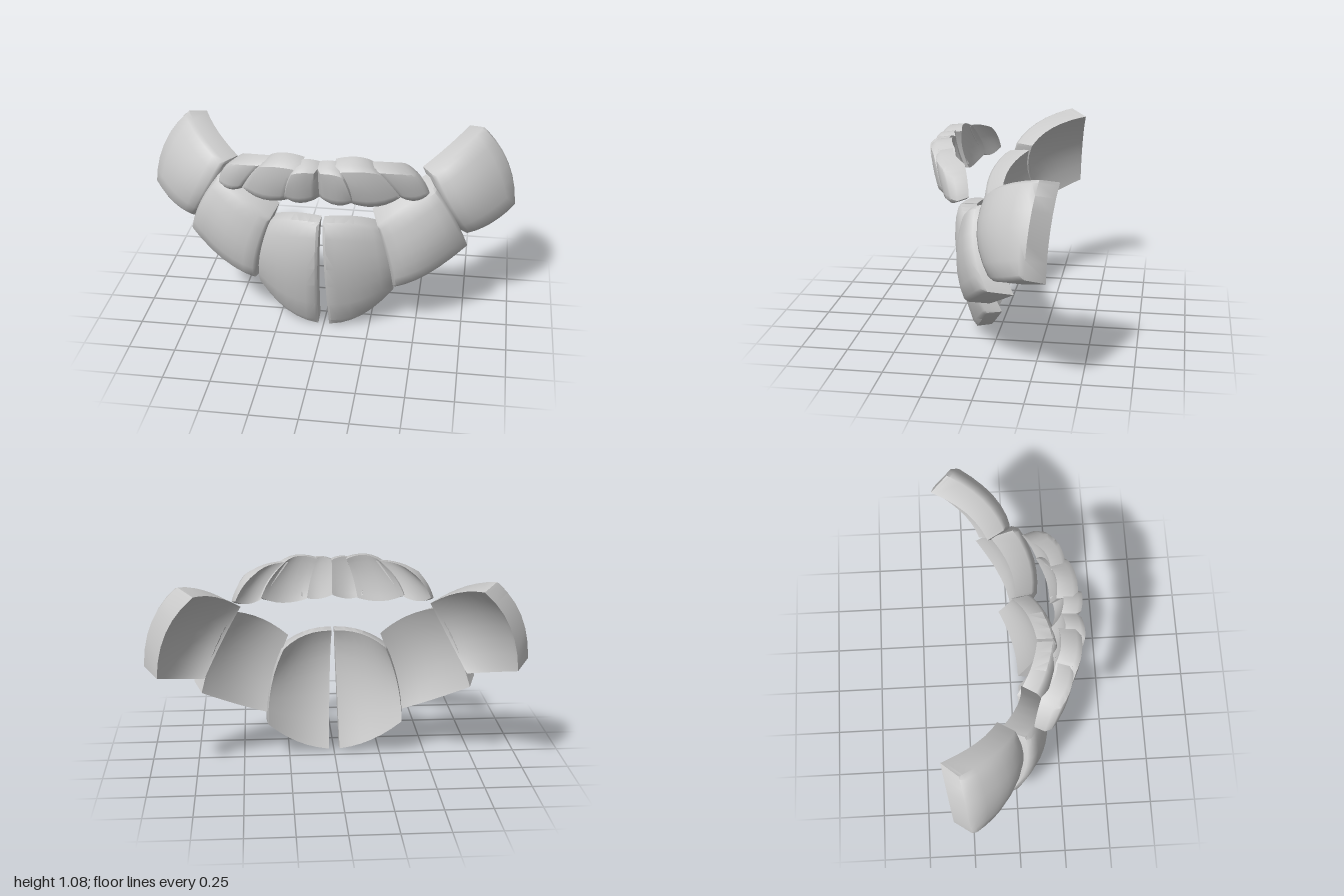
import * as THREE from 'three';
import { toCreasedNormals } from 'three/addons/utils/BufferGeometryUtils.js';

// Quadratic weights through three points at t = 0, 0.5 and 1
const weights = t => [(1 - t) * (1 - 2 * t), 4 * t * (1 - t), t * (2 * t - 1)];

// Thick curved plate. face: 3 x 3 points (rows top to bottom, columns inner to outer).
// depth: offset to the back at inner top, outer top, inner bottom, outer bottom.
function plateGeometry({ face, depth, edge = 0.04, round = 0.12 }, side) {
  const steps = [0, edge, 0.18, 0.34, 0.5, 0.66, 0.82, 1 - edge, 1];
  const last = steps.length - 1;
  const point = (u, v, t) => {
    const p = new THREE.Vector3();
    const wu = weights(u), wv = weights(v);
    const add = (a, w) => p.add(new THREE.Vector3(...a).multiplyScalar(w));
    face.forEach((row, j) => row.forEach((c, i) => add(c, wu[i] * wv[j])));
    [(1 - u) * (1 - v), u * (1 - v), (1 - u) * v, u * v].forEach((w, k) => add(depth[k], w * t));
    p.x *= side;
    return p;
  };
  const isRim = (i, j) => i === 0 || j === 0 || i === last || j === last;
  const front = (i, j) => point(steps[i], steps[j], isRim(i, j) ? round : 0);
  const back = (i, j) => point(steps[i], steps[j], 1);

  const out = [];
  const tri = (a, b, c) => (side > 0 ? [a, b, c] : [a, c, b]).forEach(p => out.push(p.x, p.y, p.z));
  const quad = (a, b, c, d) => { tri(a, b, c); tri(a, c, d); };

  // front and back skins
  for (let j = 0; j < last; j++) {
    for (let i = 0; i < last; i++) {
      quad(front(i, j), front(i, j + 1), front(i + 1, j + 1), front(i + 1, j));
      quad(back(i, j), back(i + 1, j), back(i + 1, j + 1), back(i, j + 1));
    }
  }
  // rim walls
  const rim = [];
  for (let k = 0; k < last; k++) rim.push([k, 0]);
  for (let k = 0; k < last; k++) rim.push([last, k]);
  for (let k = last; k > 0; k--) rim.push([k, last]);
  for (let k = last; k > 0; k--) rim.push([0, k]);
  rim.forEach((p, k) => {
    const q = rim[(k + 1) % rim.length];
    quad(front(...p), front(...q), back(...q), back(...p));
  });

  const geometry = new THREE.BufferGeometry();
  geometry.setAttribute('position', new THREE.Float32BufferAttribute(out, 3));
  return toCreasedNormals(geometry, 0.75);
}

const plates = {
  // lower plates, from the middle outwards
  ChinPlate: {
    face: [
      [[0.008, 0.68, 0.235], [0.17, 0.665, 0.19], [0.305, 0.605, 0.11]],
      [[0.018, 0.42, 0.25], [0.19, 0.40, 0.21], [0.365, 0.40, 0.11]],
      [[0.03, 0.0, 0.135], [0.21, 0.06, 0.115], [0.375, 0.2, 0.04]],
    ],
    depth: [[0, 0, -0.095], [-0.03, 0.01, -0.09], [0, 0.02, -0.09], [-0.01, 0.01, -0.09]],
  },
  MiddlePlate: {
    face: [
      [[0.29, 0.63, 0.14], [0.43, 0.75, 0.135], [0.58, 0.84, 0.06]],
      [[0.35, 0.45, 0.165], [0.53, 0.55, 0.155], [0.69, 0.67, 0.06]],
      [[0.38, 0.265, 0.13], [0.56, 0.34, 0.10], [0.765, 0.47, -0.02]],
    ],
    depth: [[-0.04, 0.06, -0.1], [-0.05, 0.02, -0.14], [-0.02, -0.01, -0.11], [-0.05, -0.03, -0.14]],
  },
  OuterPlate: {
    face: [
      [[0.56, 0.89, 0.005], [0.7, 0.99, -0.1], [0.82, 1.055, -0.28]],
      [[0.66, 0.71, 0.03], [0.81, 0.8, -0.05], [0.96, 0.87, -0.25]],
      [[0.76, 0.53, -0.05], [0.89, 0.57, -0.11], [1.01, 0.63, -0.235]],
    ],
    depth: [[-0.06, 0, -0.1], [-0.09, -0.035, -0.1], [-0.06, -0.02, -0.09], [-0.08, -0.045, -0.105]],
  },
  // upper band of overlapping lobes
  InnerLobe: {
    face: [
      [[0, 1.04, 0.355], [0.07, 1.05, 0.37], [0.13, 1.03, 0.365]],
      [[0, 0.95, 0.33], [0.09, 0.95, 0.355], [0.17, 0.94, 0.345]],
      [[0, 0.855, 0.29], [0.1, 0.825, 0.315], [0.19, 0.85, 0.295]],
    ],
    depth: [[0, 0.01, -0.1], [-0.02, 0.02, -0.1], [0, 0.01, -0.08], [-0.02, 0.01, -0.08]],
    edge: 0.1, round: 0.25,
  },
  MiddleLobe: {
    face: [
      [[0.08, 1.05, 0.345], [0.2, 1.065, 0.345], [0.3, 1.03, 0.31]],
      [[0.12, 0.95, 0.335], [0.26, 0.95, 0.325], [0.38, 0.95, 0.265]],
      [[0.15, 0.835, 0.29], [0.3, 0.815, 0.28], [0.43, 0.86, 0.225]],
    ],
    depth: [[0, 0.01, -0.11], [-0.04, 0.02, -0.1], [-0.01, 0.01, -0.08], [-0.04, 0.01, -0.07]],
    edge: 0.1, round: 0.25,
  },
  OuterLobe: {
    face: [
      [[0.27, 1.04, 0.3], [0.39, 1.025, 0.275], [0.48, 0.99, 0.21]],
      [[0.34, 0.95, 0.275], [0.45, 0.94, 0.25], [0.53, 0.93, 0.18]],
      [[0.42, 0.85, 0.23], [0.5, 0.825, 0.205], [0.56, 0.85, 0.16]],
    ],
    depth: [[-0.03, 0.01, -0.08], [-0.06, 0.02, -0.08], [-0.03, 0.01, -0.07], [-0.03, 0.02, -0.07]],
    edge: 0.1, round: 0.25,
  },
};

export function createModel() {
  const group = new THREE.Group();
  group.name = 'platedCollar';
  const material = new THREE.MeshStandardMaterial({ color: 0xcccccc });
  for (const [name, plate] of Object.entries(plates)) {
    for (const side of [1, -1]) {
      const mesh = new THREE.Mesh(plateGeometry(plate, side), material);
      mesh.name = (side > 0 ? 'left' : 'right') + name;
      group.add(mesh);
    }
  }
  return group;
}
